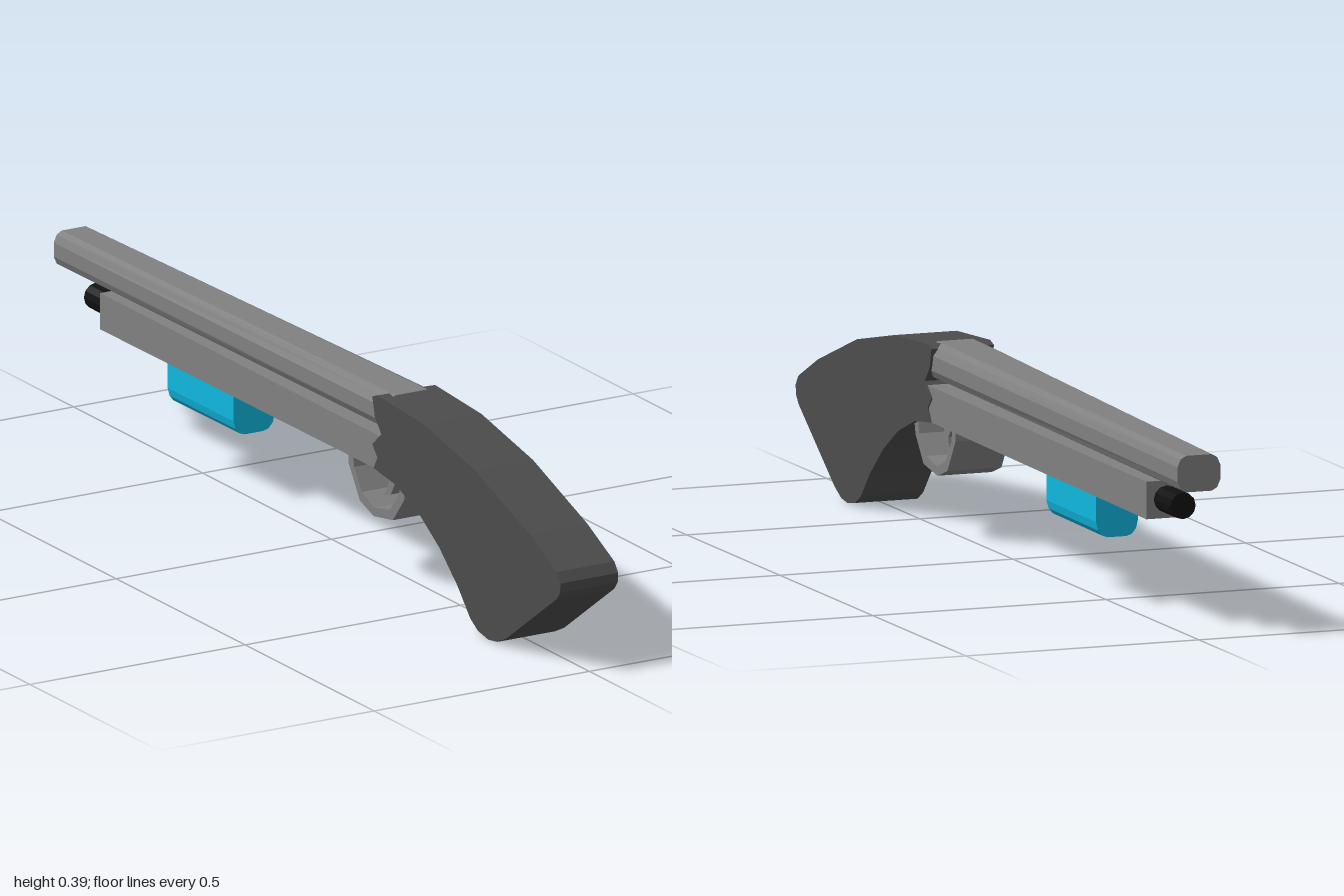
import * as THREE from 'three';

const mat = (color) => new THREE.MeshStandardMaterial({ color, flatShading: true });
const toShape = (pts) => new THREE.Shape(pts.map(([a, b]) => new THREE.Vector2(a, b)));

function named(name, geometry, material) {
  const mesh = new THREE.Mesh(geometry, material);
  mesh.name = name;
  return mesh;
}

// Side profile of (z, y) points, extruded evenly to both sides of x = 0
function profile(pts, halfWidth) {
  const g = new THREE.ExtrudeGeometry(toShape(pts), { depth: 2 * halfWidth, bevelEnabled: false });
  g.translate(0, 0, -halfWidth);
  g.rotateY(-Math.PI / 2);
  return g;
}

// Unit cross-section (right half, top to bottom) lofted between two ends:
// z position, y centre, half width w and half height h
function loft(half, a, b) {
  const ring = [...half, ...half.map(([x, y]) => [-x, y]).reverse()];
  const g = new THREE.ExtrudeGeometry(toShape(ring), { depth: 1, bevelEnabled: false });
  const p = g.attributes.position;
  const mix = THREE.MathUtils.lerp;
  for (let i = 0; i < p.count; i++) {
    const t = p.getZ(i);
    p.setXYZ(i,
      p.getX(i) * mix(a.w, b.w, t),
      mix(a.y, b.y, t) + p.getY(i) * mix(a.h, b.h, t),
      mix(a.z, b.z, t));
  }
  g.computeVertexNormals();
  return g;
}

export function createModel() {
  const model = new THREE.Group();
  const steel = mat(0x808080);
  const dark = mat(0x4c4c4c);
  const black = mat(0x111111);
  const cyan = mat(0x10b8e0);

  // Curved stock with a jagged front edge
  model.add(named('stock', profile([
    [1, 0.195], [0.985, 0.215], [0.88, 0.265], [0.67, 0.34], [0.47, 0.381], [0.29, 0.392],
    [0.27, 0.385], [0.28, 0.345], [0.305, 0.315], [0.27, 0.285], [0.29, 0.262], [0.275, 0.236],
    [0.36, 0.225], [0.45, 0.19], [0.53, 0.14], [0.6, 0.08], [0.65, 0.025], [0.68, 0.007],
    [0.72, 0], [0.755, 0.005], [0.79, 0.022], [0.985, 0.158], [0.998, 0.175],
  ], 0.067), dark));

  // Tapered barrel with rounded corners
  model.add(named('barrel', loft(
    [[0.6, 1], [0.85, 0.82], [1, 0.4], [1, -0.4], [0.85, -0.82], [0.6, -1]],
    { z: -1, y: 0.337, w: 0.046, h: 0.037 },
    { z: 0.31, y: 0.355, w: 0.062, h: 0.038 },
  ), steel));

  // Tapered receiver below the barrel
  model.add(named('receiver', loft(
    [[1, 1], [1, -1]],
    { z: -0.825, y: 0.256, w: 0.043, h: 0.038 },
    { z: 0.31, y: 0.272, w: 0.065, h: 0.036 },
  ), steel));

  // Magazine tube showing at the front
  const tube = new THREE.CylinderGeometry(0.027, 0.027, 0.2, 12);
  tube.rotateX(Math.PI / 2);
  tube.translate(0, 0.257, -0.815);
  model.add(named('magazineTube', tube, black));

  // Rounded pump grip under the receiver
  model.add(named('pumpGrip', loft(
    [[1, 1], [1, -0.35], [0.9, -0.7], [0.7, -0.92], [0.45, -1]],
    { z: -0.56, y: 0.186, w: 0.045, h: 0.049 },
    { z: -0.3, y: 0.189, w: 0.048, h: 0.049 },
  ), cyan));

  // Trigger guard: a wide bent strip
  model.add(named('triggerGuard', profile([
    [0.385, 0.225], [0.378, 0.195], [0.335, 0.142], [0.26, 0.13], [0.207, 0.148], [0.163, 0.215],
    [0.163, 0.24], [0.18, 0.24], [0.185, 0.212], [0.215, 0.168], [0.26, 0.148], [0.322, 0.16],
    [0.358, 0.2], [0.365, 0.228],
  ], 0.058), steel));

  // Curved trigger
  model.add(named('trigger', profile([
    [0.295, 0.24], [0.295, 0.2], [0.28, 0.176], [0.25, 0.166], [0.268, 0.185],
    [0.272, 0.205], [0.255, 0.222], [0.225, 0.24],
  ], 0.03), steel));

  return model;
}
